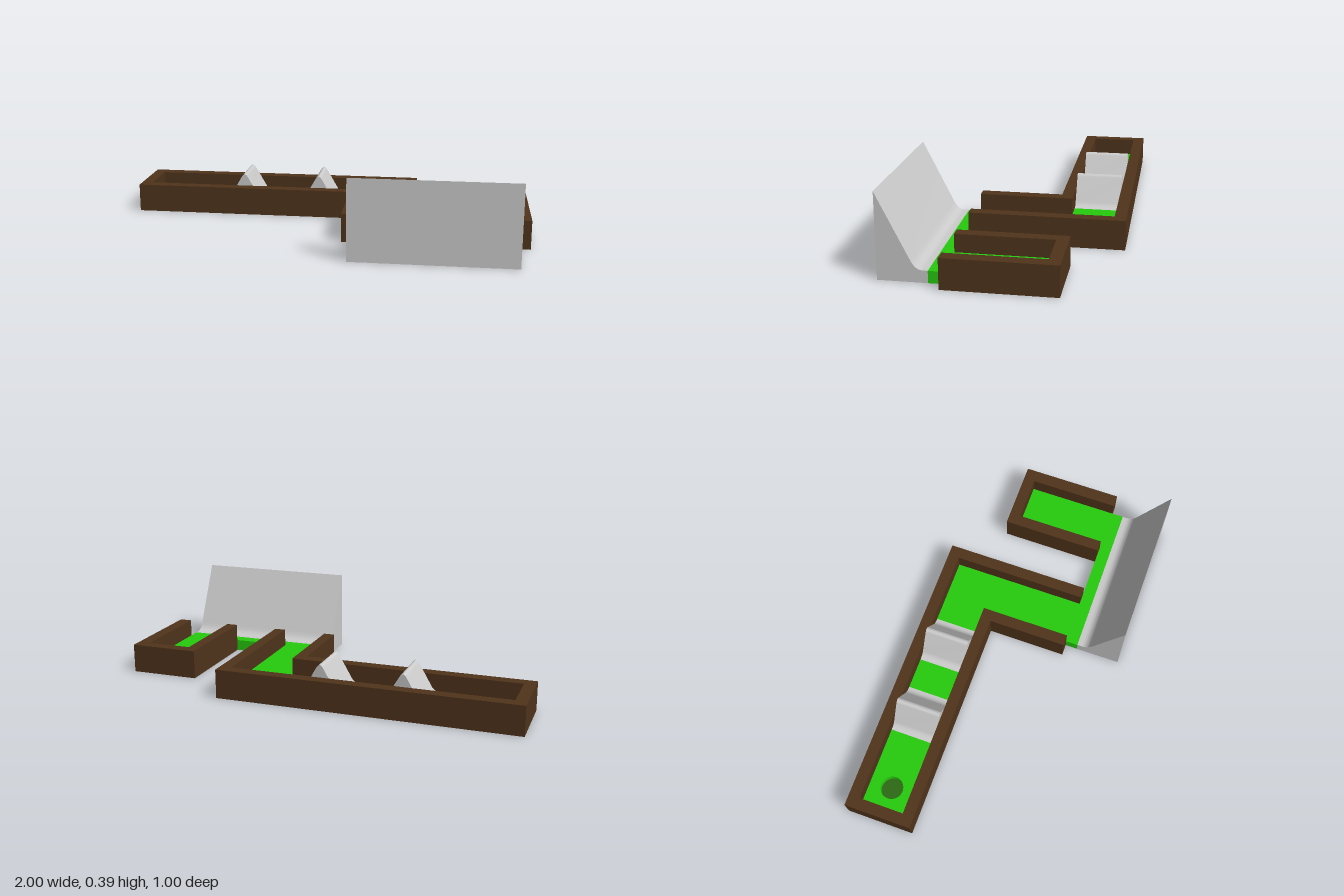
import * as THREE from 'three';
import { toCreasedNormals } from 'three/addons/utils/BufferGeometryUtils.js';

const WALL_H = 0.14, FLOOR_H = 0.055;
const wood = new THREE.MeshStandardMaterial({ color: 0x50341b });
const turf = new THREE.MeshStandardMaterial({ color: 0x27cc0d });
const cupGreen = new THREE.MeshStandardMaterial({ color: 0x2b6a14 });
const grey = new THREE.MeshStandardMaterial({ color: 0xcccccc });

const outline = (points) => new THREE.Shape(points.map(([x, z]) => new THREE.Vector2(x, z)));

function add(group, name, geometry, material) {
  const mesh = new THREE.Mesh(geometry, material);
  mesh.name = name;
  group.add(mesh);
  return mesh;
}

// Plan outline (x, z) raised from the ground to the given height
function slab(shape, height) {
  const g = new THREE.ExtrudeGeometry(shape, { depth: height, bevelEnabled: false, curveSegments: 24 });
  return toCreasedNormals(g.rotateX(Math.PI / 2).translate(0, height, 0), 0.6);
}

export function createModel() {
  const group = new THREE.Group();
  group.name = 'miniGolfHole';

  // Border walls: long L-shaped lane and the short return lane
  add(group, 'longLaneWall', slab(outline([
    [-1, -0.5], [0.44, -0.5], [0.44, 0.22], [0.385, 0.22], [0.385, -0.445], [-0.945, -0.445],
    [-0.945, -0.225], [0.165, -0.225], [0.165, 0.22], [0.11, 0.22], [0.11, -0.17], [-1, -0.17],
  ]), WALL_H), wood);
  add(group, 'shortLaneWall', slab(outline([
    [0.665, -0.28], [1, -0.28], [1, 0.22], [0.94, 0.22], [0.94, -0.225],
    [0.72, -0.225], [0.72, 0.22], [0.665, 0.22],
  ]), WALL_H), wood);

  // Continuous green with the cup opening
  const green = outline([
    [-0.945, -0.445], [0.385, -0.445], [0.385, 0.22], [0.72, 0.22], [0.72, -0.225], [0.94, -0.225],
    [0.94, 0.28], [0.165, 0.28], [0.165, -0.225], [-0.945, -0.225],
  ]);
  const cup = { x: -0.835, z: -0.335, r: 0.055 };
  green.holes.push(new THREE.Path().absarc(cup.x, cup.z, cup.r, 0, Math.PI * 2, true));
  add(group, 'green', slab(green, FLOOR_H), turf);

  // Cup bottom
  add(group, 'cupBottom', new THREE.CylinderGeometry(cup.r, cup.r, 0.01, 48), cupGreen)
    .position.set(cup.x, 0.005, cup.z);

  // Two rounded ridges across the long lane
  const ridge = new THREE.Shape();
  ridge.moveTo(-0.1175, FLOOR_H);
  ridge.lineTo(0.1175, FLOOR_H);
  ridge.quadraticCurveTo(0.0915, FLOOR_H, 0.0785, 0.0775);
  ridge.lineTo(0.016, 0.186);
  ridge.quadraticCurveTo(0, 0.2136, -0.016, 0.186);
  ridge.lineTo(-0.0785, 0.0775);
  ridge.quadraticCurveTo(-0.0915, FLOOR_H, -0.1175, FLOOR_H);
  const ridgeGeometry = toCreasedNormals(
    new THREE.ExtrudeGeometry(ridge, { depth: 0.22, bevelEnabled: false, curveSegments: 10 }), 0.6);
  [-0.4475, -0.0575].forEach((x, i) => {
    add(group, `ridge${i + 1}`, ridgeGeometry, grey).position.set(x, 0, -0.445);
  });

  // Banked ramp joining the two lanes, profile drawn in (z, y)
  const bank = new THREE.Shape();
  bank.moveTo(0.28, 0);
  bank.lineTo(0.5, 0);
  bank.lineTo(0.5, 0.39);
  bank.lineTo(0.352, 0.094);
  bank.quadraticCurveTo(0.3325, FLOOR_H, 0.3, FLOOR_H);
  bank.lineTo(0.28, FLOOR_H);
  const bankGeometry = new THREE.ExtrudeGeometry(bank, { depth: 0.775, bevelEnabled: false, curveSegments: 12 });
  bankGeometry.rotateY(-Math.PI / 2).translate(0.94, 0, 0);
  add(group, 'bankedRamp', toCreasedNormals(bankGeometry, 0.6), grey);

  return group;
}
